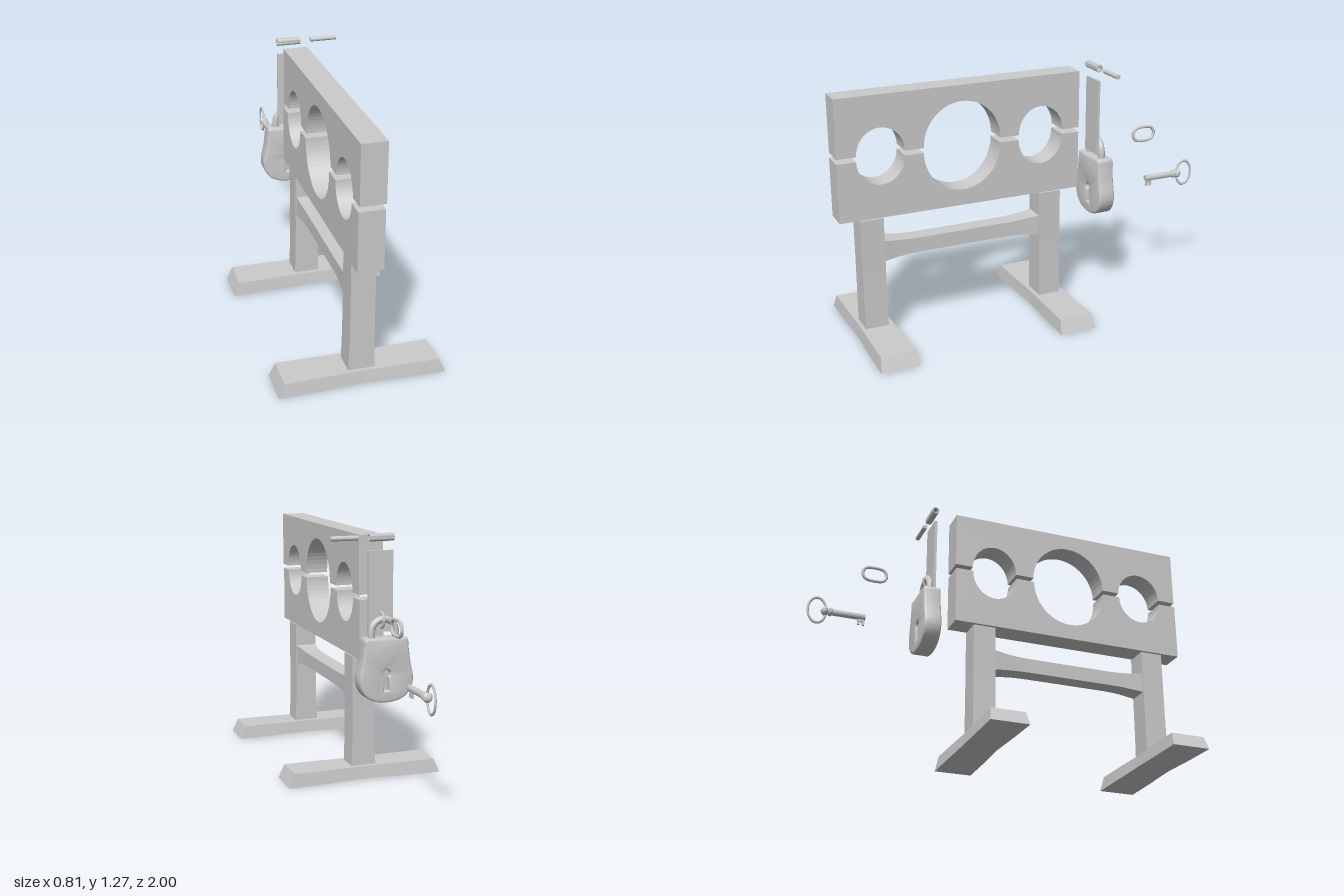
import * as THREE from 'three';
import { toCreasedNormals } from 'three/addons/utils/BufferGeometryUtils.js';

const flat = new THREE.MeshStandardMaterial({ color: 0xcccccc, flatShading: true });
const smooth = new THREE.MeshStandardMaterial({ color: 0xcccccc });
const V = (x, y, z) => new THREE.Vector3(x, y, z);

function add(parent, name, geometry, material, x = 0, y = 0, z = 0) {
  const mesh = new THREE.Mesh(geometry, material);
  mesh.name = name;
  mesh.position.set(x, y, z);
  parent.add(mesh);
  return mesh;
}

// Moves every vertex by a rule
function reshape(geometry, rule) {
  const p = geometry.attributes.position, v = V(0, 0, 0);
  for (let i = 0; i < p.count; i++) {
    rule(v.fromBufferAttribute(p, i));
    p.setXYZ(i, v.x, v.y, v.z);
  }
  geometry.computeVertexNormals();
  return geometry;
}

// Half board in the yz plane, notched along its cut edge: notches are [z, radius, height]
function boardGeometry(edge, outer, notches, width) {
  const up = outer > edge, s = new THREE.Shape();
  s.moveTo(-0.26, edge);
  for (const [c, r, h] of notches) {
    s.lineTo(c - r, edge);
    s.absellipse(c, edge, r, h, Math.PI, up ? 0 : 2 * Math.PI, up);
  }
  s.lineTo(1, edge);
  s.lineTo(1, outer);
  s.lineTo(-0.26, outer);
  const g = new THREE.ExtrudeGeometry(s, { depth: width, bevelEnabled: false, curveSegments: 14 });
  return g.translate(0, 0, -width / 2).rotateY(-Math.PI / 2);
}

// Foot beam with sloping ends, a slight waist and a shallow arch below
function footGeometry() {
  return reshape(new THREE.BoxGeometry(0.81, 0.07, 0.195, 4, 1, 1), (v) => {
    const t = Math.min(1, Math.abs(v.x) / 0.3);
    const top = v.y > 0;
    if (Math.abs(v.x) < 0.3) {
      v.z *= 0.92 + 0.08 * t;
      if (!top) v.y += 0.006 * (1 - t);
    }
    if (top) {
      v.x *= 0.926;
      v.z *= 0.9;
    }
  });
}

function buildFrame(group) {
  const small = 0.12;
  add(group, 'upperBoard', boardGeometry(0.96, 1.25,
    [[-0.048, small, 0.135], [0.37, 0.2, 0.21], [0.785, small, 0.13]], 0.122), flat, 0.002);
  add(group, 'lowerBoard', boardGeometry(0.935, 0.64,
    [[-0.048, small, 0.138], [0.37, 0.2, 0.215], [0.785, small, 0.128]], 0.124), flat, -0.002);

  for (const [side, postZ, footZ] of [['front', 0.842, 0.838], ['back', -0.101, -0.101]]) {
    // Post widens a little towards the foot
    const post = reshape(new THREE.BoxGeometry(0.118, 0.565, 0.117, 1, 4, 1), (v) => {
      v.x *= 1 + 0.09 * Math.max(0, -v.y / 0.2825) ** 2;
    });
    add(group, side + 'Post', post, flat, 0, 0.3525, postZ);
    add(group, side + 'Foot', footGeometry(), flat, 0, 0.035, footZ);
  }

  // Crossbar flares where it meets the posts
  const bar = reshape(new THREE.BoxGeometry(0.088, 0.075, 0.83, 1, 1, 14), (v) => {
    const t = Math.max(0, (Math.abs(v.z) - 0.22) / 0.195);
    v.y *= 1 + 0.4 * t * t;
    v.x *= 1 + 0.22 * t * t;
  });
  add(group, 'crossbar', bar, flat, 0, 0.461, 0.37);
}

function buildHasp(group) {
  const hasp = new THREE.Group();
  hasp.name = 'hasp';
  add(hasp, 'strap', new THREE.BoxGeometry(0.126, 0.39, 0.014), flat, -0.002, 0.991, -0.374);
  // Half-ring staple standing on the strap
  const staple = new THREE.TorusGeometry(0.037, 0.007, 8, 16, Math.PI);
  staple.rotateZ(-Math.PI / 2).rotateY(Math.PI / 2);
  add(hasp, 'staple', staple, smooth, -0.006, 0.855, -0.379);
  // Hollow hinge barrel
  const ring = new THREE.Shape().absarc(0, 0, 0.019, 0, Math.PI * 2);
  ring.holes.push(new THREE.Path().absarc(0, 0, 0.013, 0, Math.PI * 2));
  const barrel = new THREE.ExtrudeGeometry(ring, { depth: 0.123, bevelEnabled: false, curveSegments: 8 });
  barrel.translate(0, 0, -0.0615).rotateY(Math.PI / 2);
  add(hasp, 'hingeBarrel', toCreasedNormals(barrel, 0.9), smooth, -0.004, 1.249, -0.377);
  const pin = new THREE.CylinderGeometry(0.012, 0.012, 0.137, 14).rotateZ(Math.PI / 2);
  add(hasp, 'hingePin', pin, smooth, 0.182, 1.249, -0.377);
  group.add(hasp);
}

function buildPadlock(group) {
  const lock = new THREE.Group();
  lock.name = 'padlock';
  lock.position.set(-0.012, 0, -0.401);

  // Bell-shaped outline, mirrored from one half
  const half = [[0.06, 0.774], [0.095, 0.775], [0.108, 0.766], [0.112, 0.73], [0.121, 0.66],
    [0.136, 0.585], [0.13, 0.535], [0.102, 0.492], [0.055, 0.468]];
  const pts = [...half, [0, 0.461], ...half.map(([x, y]) => [-x, y]).reverse()]
    .map(([x, y]) => new THREE.Vector2(x, y));
  const outline = new THREE.Shape();
  outline.moveTo(pts[0].x, pts[0].y);
  outline.splineThru(pts.slice(1));
  outline.closePath();

  const keyhole = new THREE.Path();
  keyhole.absarc(0, 0.602, 0.02, -Math.PI / 3, Math.PI * 4 / 3, false);
  keyhole.lineTo(-0.014, 0.52);
  keyhole.lineTo(0.014, 0.52);
  keyhole.closePath();
  outline.holes.push(keyhole);

  const b = 0.01;
  const body = new THREE.ExtrudeGeometry(outline, {
    depth: 0.068, bevelSize: b, bevelThickness: b, bevelOffset: -b, bevelSegments: 3, curveSegments: 5,
  }).translate(0, 0, -0.034);
  add(lock, 'lockBody', toCreasedNormals(body, 0.6), smooth);
  add(lock, 'lockCore', new THREE.BoxGeometry(0.1, 0.15, 0.04), flat, 0, 0.57, 0.006);

  // Shackle: two legs joined by a half circle
  const bow = [V(0.062, 0.74, 0), V(0.062, 0.775, 0)];
  for (let i = 0; i <= 8; i++) {
    const a = (i / 8) * Math.PI;
    bow.push(V(0.062 * Math.cos(a), 0.8 + 0.062 * Math.sin(a), 0));
  }
  bow.push(V(-0.062, 0.775, 0), V(-0.062, 0.74, 0));
  add(lock, 'shackle', new THREE.TubeGeometry(new THREE.CatmullRomCurve3(bow), 32, 0.017, 10), smooth, 0.003);
  group.add(lock);
}

// Oval chain link in the yz plane
function buildLink(group) {
  const pts = [];
  for (const s of [1, -1]) {
    for (let i = 0; i <= 6; i++) {
      const a = (i / 6 - 0.5) * Math.PI;
      pts.push(V(0, s * 0.036 * Math.sin(a), s * (0.026 + 0.036 * Math.cos(a))));
    }
  }
  const path = new THREE.CatmullRomCurve3(pts, true);
  add(group, 'chainLink', new THREE.TubeGeometry(path, 40, 0.008, 8, true), smooth, 0.03, 0.865, -0.66);
}

function buildKey(group) {
  const key = new THREE.Group();
  key.name = 'key';
  key.position.set(-0.017, 0.595, 0);
  // Shaft, collars and knob turned along z: [radius, distance from the tip]
  const profile = [[0, 0], [0.016, 0], [0.016, 0.165], [0.021, 0.168], [0.021, 0.178], [0.014, 0.181],
    [0.014, 0.186], [0.022, 0.192], [0.024, 0.2], [0.019, 0.209], [0.008, 0.218], [0, 0.22]]
    .map(([r, d]) => new THREE.Vector2(r, d));
  const shaft = new THREE.LatheGeometry(profile, 14).rotateX(-Math.PI / 2);
  add(key, 'keyShaft', toCreasedNormals(shaft, 0.7), smooth, 0, 0, -0.71);
  const bow = new THREE.TorusGeometry(0.045, 0.0055, 8, 28).rotateY(Math.PI / 2).scale(1, 1.47, 1);
  add(key, 'keyBow', bow, smooth, 0, 0, -0.948);
  // Bit with two teeth
  add(key, 'keyBit', new THREE.BoxGeometry(0.01, 0.016, 0.034), flat, 0, -0.02, -0.731);
  for (const [z, h] of [[-0.718, 0.02], [-0.741, 0.02]]) {
    add(key, 'keyTooth', new THREE.BoxGeometry(0.01, h, 0.011), flat, 0, -0.034, z);
  }
  group.add(key);
}

export function createModel() {
  const group = new THREE.Group();
  group.name = 'pillory';
  buildFrame(group);
  buildHasp(group);
  buildPadlock(group);
  buildLink(group);
  buildKey(group);
  return group;
}
